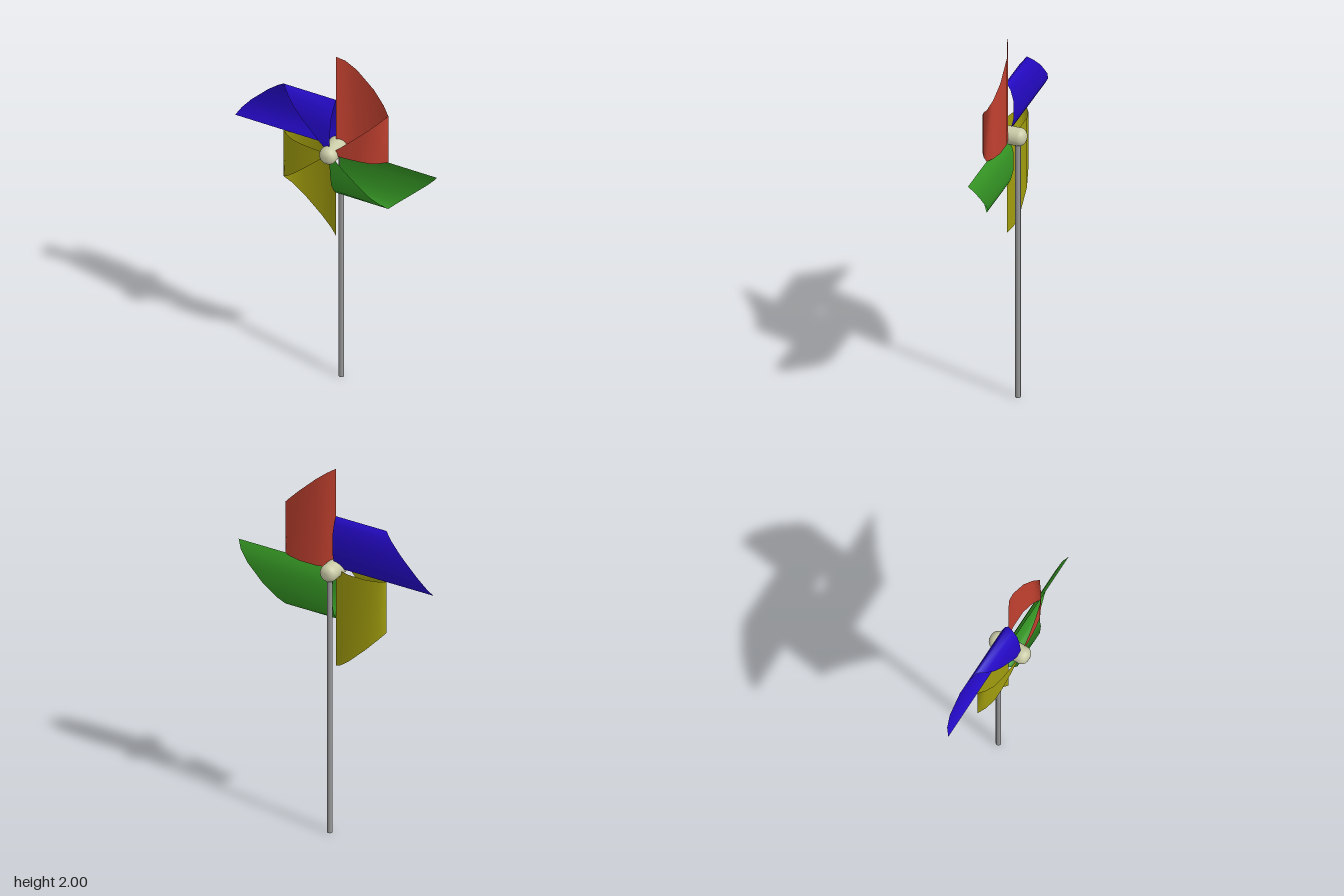
import * as THREE from 'three';

const HUB_Y = 1.45;

// One curled paper sail: columns of [x, z, height], from the slit edge
// behind, round the fold, and forward to the pinned corner at the hub.
const SAIL = [
  [0, -0.008, 0.55],
  [0.04, -0.03, 0.525],
  [0.095, -0.043, 0.48],
  [0.19, -0.043, 0.388],
  [0.25, -0.028, 0.324],
  [0.285, -0.008, 0.285],
  [0.25, 0.02, 0.25],
  [0.205, 0.043, 0.205],
  [0.15, 0.053, 0.15],
  [0.08, 0.06, 0.08],
  [0, 0.063, 0],
];

function sailGeometry() {
  const positions = [];
  const index = [];
  SAIL.forEach(([x, z, h], i) => {
    positions.push(x, 0, z, x, h, z);
    if (i === 0) return;
    const a = 2 * (i - 1), b = a + 1, c = a + 2, d = a + 3;
    index.push(a, b, c);
    if (h > 0) index.push(c, b, d);
  });
  const geometry = new THREE.BufferGeometry();
  geometry.setAttribute('position', new THREE.Float32BufferAttribute(positions, 3));
  geometry.setIndex(index);
  geometry.computeVertexNormals();
  return geometry;
}

function material(name, color, side = THREE.FrontSide) {
  const m = new THREE.MeshStandardMaterial({ color, side });
  m.name = name;
  return m;
}

export function createModel() {
  const model = new THREE.Group();
  model.name = 'pinwheel';

  // Four sails, each a quarter turn on from the last
  const wheel = new THREE.Group();
  wheel.name = 'wheel';
  wheel.position.y = HUB_Y;
  const sail = sailGeometry();
  const colours = [['red', 0xc0402f], ['blue', 0x2409c4], ['yellow', 0xa09c0e], ['green', 0x359624]];
  colours.forEach(([name, hex], i) => {
    const mesh = new THREE.Mesh(sail, material(name, hex, THREE.DoubleSide));
    mesh.name = name + 'Sail';
    mesh.rotation.z = i * Math.PI / 2;
    wheel.add(mesh);
  });
  model.add(wheel);

  // Round-ended pin through the middle
  const radius = 0.046, half = 0.109, round = 0.036;
  const profile = [];
  for (const end of [-1, 1]) {
    for (let i = 0; i <= 6; i++) {
      const t = (end < 0 ? i : 6 - i) / 6 * Math.PI / 2;
      profile.push(new THREE.Vector2(
        radius - round + round * Math.sin(t),
        end * (half - round + round * Math.cos(t))));
    }
  }
  profile.unshift(new THREE.Vector2(0, -half));
  profile.push(new THREE.Vector2(0, half));
  const hub = new THREE.Mesh(new THREE.LatheGeometry(profile, 24), material('cream', 0xc9caa6));
  hub.name = 'hub';
  hub.rotation.x = Math.PI / 2;
  hub.position.y = HUB_Y;
  model.add(hub);

  // Stick behind the wheel
  const stick = new THREE.Mesh(new THREE.CylinderGeometry(0.0135, 0.0135, 1.43, 16), material('grey', 0x999999));
  stick.name = 'stick';
  stick.position.set(0, 0.715, -0.066);
  model.add(stick);

  return model;
}
